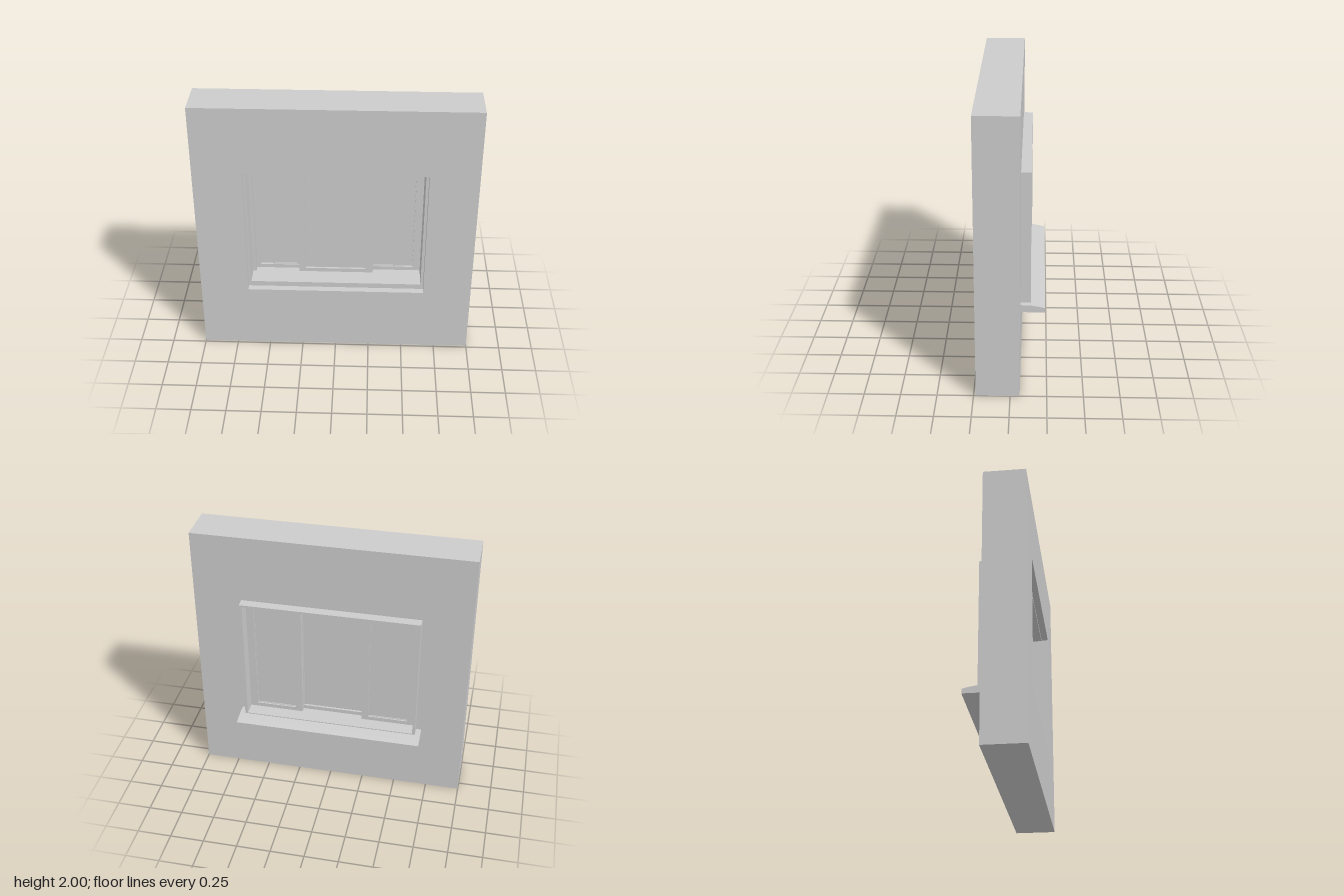
import * as THREE from 'three';

const material = new THREE.MeshStandardMaterial({ color: 0xcccccc, flatShading: true });

function addMesh(parent, name, geometry) {
  const mesh = new THREE.Mesh(geometry, material);
  mesh.name = name;
  parent.add(mesh);
  return mesh;
}

function rectangle(PathType, [x0, x1, y0, y1]) {
  const path = new PathType();
  path.moveTo(x0, y0);
  path.lineTo(x1, y0);
  path.lineTo(x1, y1);
  path.lineTo(x0, y1);
  path.closePath();
  return path;
}

// Rectangular ring between an outer and an inner rectangle, from z0 to z1
function frameGeometry(outer, inner, z0, z1) {
  const shape = rectangle(THREE.Shape, outer);
  shape.holes.push(rectangle(THREE.Path, inner));
  return new THREE.ExtrudeGeometry(shape, { depth: z1 - z0, bevelEnabled: false }).translate(0, 0, z0);
}

function boxGeometry([x0, x1, y0, y1], z0, z1) {
  return new THREE.BoxGeometry(x1 - x0, y1 - y0, z1 - z0)
    .translate((x0 + x1) / 2, (y0 + y1) / 2, (z0 + z1) / 2);
}

// Sash: frame, thin glazing bead and pane
function addSash(parent, name, outer, opening, z0, z1, bead) {
  const sash = new THREE.Group();
  sash.name = name;
  parent.add(sash);
  addMesh(sash, 'sashFrame', frameGeometry(outer, opening, z0, z1));
  const middle = (z0 + z1) / 2;
  if (bead) {
    const [x0, x1, y0, y1] = opening;
    const inner = [x0 + bead, x1 - bead, y0 + bead, y1 - bead];
    addMesh(sash, 'glazingBead', frameGeometry(opening, inner, middle - 0.01, middle + 0.01));
  }
  addMesh(sash, 'glassPane', boxGeometry(opening, middle - 0.004, middle + 0.004));
}

export function createModel() {
  const model = new THREE.Group();
  model.name = 'slidingWindowInWall';

  // Wall with the window opening
  const opening = [-0.65, 0.65, 0.5, 1.5];
  addMesh(model, 'wall', frameGeometry([-1, 1, 0, 2], opening, -0.065, 0.235));

  // Lining set back from the front and projecting behind the wall
  const lining = [-0.63, 0.63, 0.54, 1.485];
  addMesh(model, 'windowLining', frameGeometry(opening, lining, -0.135, 0.185));

  // Stop strip on the model's right jamb
  addMesh(model, 'jambStop', boxGeometry([-0.63, -0.605, 0.54, 1.485], -0.03, 0.055));

  // Fixed outer sashes behind, sliding middle sash in front
  const bottom = 0.57, top = 1.435;
  addSash(model, 'rightSash', [-0.605, -0.23, 0.54, 1.485], [-0.575, -0.28, bottom, top], -0.035, 0.005, 0.005);
  addSash(model, 'leftSash', [0.225, 0.63, 0.54, 1.485], [0.275, 0.575, bottom, top], -0.035, 0.005, 0.005);
  addSash(model, 'middleSash', [-0.28, 0.275, 0.54, 1.485], [-0.23, 0.22, bottom, top], 0.005, 0.045, 0);

  // Sloping outer sill, profile drawn as (-z, y) and swept along x
  const profile = new THREE.Shape([
    [0.065, 0.48], [0.235, 0.48], [0.235, 0.513], [0.19, 0.524], [0.135, 0.533], [0.065, 0.535],
  ].map(([x, y]) => new THREE.Vector2(x, y)));
  const sill = new THREE.ExtrudeGeometry(profile, { depth: 1.38, bevelEnabled: false })
    .rotateY(Math.PI / 2)
    .translate(-0.69, 0, 0);
  addMesh(model, 'outerSill', sill);

  return model;
}
